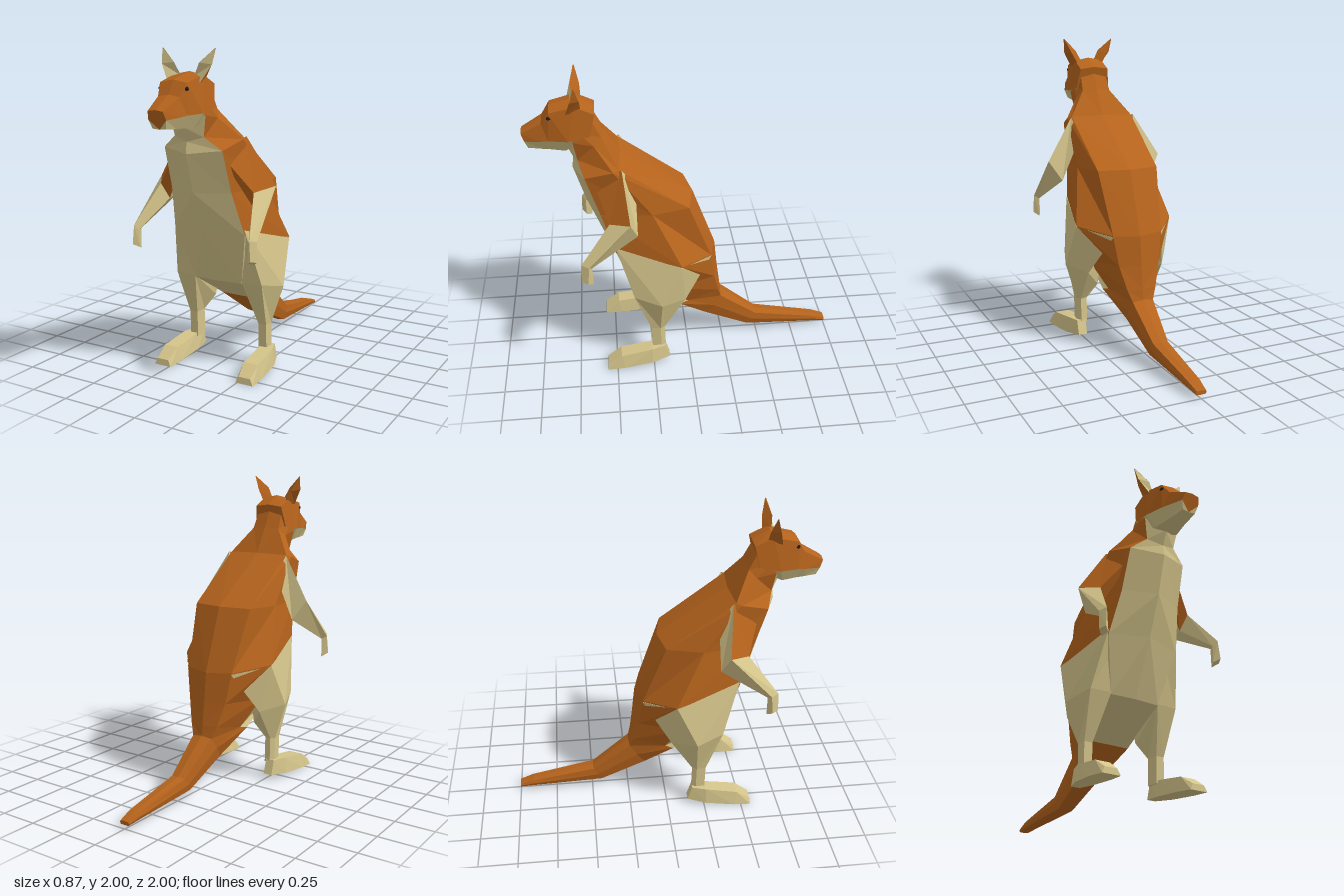
import * as THREE from 'three';

const fur = new THREE.MeshStandardMaterial({ color: 0xb5631c, flatShading: true });
const pale = new THREE.MeshStandardMaterial({ color: 0xd4c48a, flatShading: true });
const dark = new THREE.MeshStandardMaterial({ color: 0x1c1c1c, flatShading: true });

const flipX = ([x, y, z]) => [-x, y, z];

// Eight-sided symmetrical section: a line from the front (or lower) centre point to the
// back (or upper) one, with three half widths set out along it
function section([y0, z0, y1, z1, frontWidth, frontAt, sideWidth, sideAt, backWidth]) {
  const point = (x, t) => [x, y0 + (y1 - y0) * t, z0 + (z1 - z0) * t];
  const half = [point(frontWidth, frontAt), point(sideWidth, sideAt), point(backWidth, .94)];
  return [point(0, 0), ...half, point(0, 1), ...half.reverse().map(flipX)];
}

// Capped loft through cross-sections; isPale(segment, column) picks the colour of each face
function loft(name, rings, isPale) {
  const n = rings[0].length, last = rings.length - 1;
  const tris = [];
  for (let i = 0; i < last; i++) {
    for (let j = 0; j < n; j++) {
      const k = (j + 1) % n, p = isPale(i, j);
      const a = rings[i][j], b = rings[i][k], c = rings[i + 1][k], d = rings[i + 1][j];
      // mirror the diagonal on the second half so both sides match
      if (j < n / 2) tris.push([a, b, c, p], [a, c, d, p]);
      else tris.push([a, b, d, p], [b, c, d, p]);
    }
  }
  for (let j = 1; j < n - 1; j++) {
    tris.push([rings[0][0], rings[0][j + 1], rings[0][j], isPale(0, j)]);
    tris.push([rings[last][0], rings[last][j], rings[last][j + 1], isPale(last - 1, j)]);
  }
  // Signed volume tells whether the faces point outward
  let volume = 0;
  const v = p => new THREE.Vector3(...p);
  for (const [a, b, c] of tris) volume += v(a).dot(v(b).cross(v(c)));

  const group = new THREE.Group();
  group.name = name;
  for (const light of [false, true]) {
    const points = tris.filter(t => t[3] === light)
      .flatMap(([a, b, c]) => (volume > 0 ? [a, b, c] : [a, c, b])).flat();
    if (!points.length) continue;
    const geometry = new THREE.BufferGeometry();
    geometry.setAttribute('position', new THREE.Float32BufferAttribute(points, 3));
    geometry.computeVertexNormals();
    const mesh = new THREE.Mesh(geometry, light ? pale : fur);
    mesh.name = name + (light ? 'Pale' : 'Fur');
    group.add(mesh);
  }
  return group;
}

// Torso from neck to rump, as rows for section()
const torso = [
  [1.56, .74, 1.79, .575, .125, .3, .12, .55, .09],
  [1.47, .70, 1.66, .51, .10, .15, .13, .7, .10],
  [1.40, .71, 1.49, .41, .20, .25, .24, .83, .22],
  [1.16, .64, 1.18, -.04, .21, .13, .26, .6, .21],
  [.91, .54, .77, -.19, .25, .1, .34, .66, .17],
  [.56, .38, .58, -.21, .17, .02, .24, .47, .14],
  [.37, .06, .43, -.23, .16, .02, .14, .2, .10],
].map(section);

// Tail: lower y and z, upper y and z, half width
const tail = [
  [.20, -.13, .36, -.24, .085],
  [.06, -.43, .16, -.49, .06],
  [.035, -.91, .08, -.91, .045],
  [.025, -1, .05, -1, .035],
].map(([y0, z0, y1, z1, w]) => section([y0, z0, y1, z1, w * .85, .05, w, .5, w * .85]));

// Head from nape to nose: chin to crown, with jaw, mouth line and brow
const head = [
  [1.60, .60, 1.81, .55, .08, .1, .12, .3, .10],
  [1.55, .74, 1.87, .66, .08, .02, .13, .28, .10],
  [1.557, .84, 1.83, .82, .06, .02, .10, .29, .09],
  [1.56, .88, 1.75, .87, .055, .02, .09, .37, .07],
  [1.565, .96, 1.675, 1, .045, .04, .06, .5, .05],
].map(section);

// Arm from shoulder to paw: outer, front, inner, back
const arm = [
  [[.23, 1.485, .41], [.14, 1.42, .60], [.15, 1.35, .50], [.20, 1.36, .33]],
  [[.41, 1.20, .375], [.33, 1.17, .50], [.30, 1.07, .45], [.33, 1.07, .33]],
  [[.43, .92, .64], [.405, .93, .685], [.385, .90, .66], [.40, .90, .62]],
  [[.435, .80, .65], [.415, .81, .69], [.38, .79, .66], [.40, .775, .62]],
];

// Leg from haunch to ankle: inner front, outer front, outer, back, inner
const shin = [[.23, .28, .26], [.285, .28, .26], [.29, .28, .20], [.27, .28, .17], [.225, .28, .18]];
const leg = [
  [[.15, .90, .45], [.25, .93, .47], [.34, .81, .06], [.17, .77, -.15], [.10, .80, .10]],
  [[.17, .57, .37], [.31, .57, .365], [.37, .53, .19], [.27, .50, .03], [.16, .38, .14]],
  shin,
  shin.map(([x, y, z]) => [x, y - .17, z - .005]),
];

// Foot from heel to toe: centre x, top half width, bottom half width, top y and z, bottom y and z
const foot = [
  [.27, .03, .03, .13, .17, .035, .14],
  [.285, .045, .06, .13, .26, .025, .26],
  [.295, .05, .07, .10, .47, .01, .45],
  [.30, .04, .06, .04, .56, 0, .565],
].map(([x, t, b, ty, tz, by, bz]) =>
  [[x - t, ty, tz], [x + t, ty, tz], [x + b, by, bz], [x - b, by, bz]]);

// Ear from base to tip: inner, outer, back; the front column is the pale lining
const ear = [
  [[.045, 1.845, .68], [.11, 1.81, .72], [.08, 1.81, .63]],
  [[.085, 1.92, .69], [.17, 1.91, .69], [.13, 1.90, .635]],
  [[.177, 2.0, .667], [.18, 2.0, .665], [.178, 2.0, .66]],
];

export function createModel() {
  const model = new THREE.Group();
  model.name = 'kangaroo';
  const column = j => Math.min(j, 7 - j);

  // Pale belly strip that widens to the flanks at the rump
  model.add(loft('bodyAndTail', [...torso, ...tail], (i, j) =>
    (column(j) === 0 && i < 6) || (column(j) === 1 && (i === 4 || i === 5))));
  model.add(loft('head', head, (i, j) => column(j) < 2));

  // Paired parts
  for (const [side, s] of [['left', 1], ['right', -1]]) {
    const place = rings => rings.map(r => (s > 0 ? r : r.map(flipX)));
    model.add(loft(side + 'Arm', place(arm), (i, j) => i > 0 || j > 1));
    model.add(loft(side + 'Leg', place(leg), () => true));
    model.add(loft(side + 'Foot', place(foot), () => true));
    model.add(loft(side + 'Ear', place(ear), (i, j) => j === 0));

    const eye = new THREE.Mesh(new THREE.IcosahedronGeometry(.02, 0), dark);
    eye.name = side + 'Eye';
    eye.position.set(s * .08, 1.78, .82);
    model.add(eye);
  }
  return model;
}
